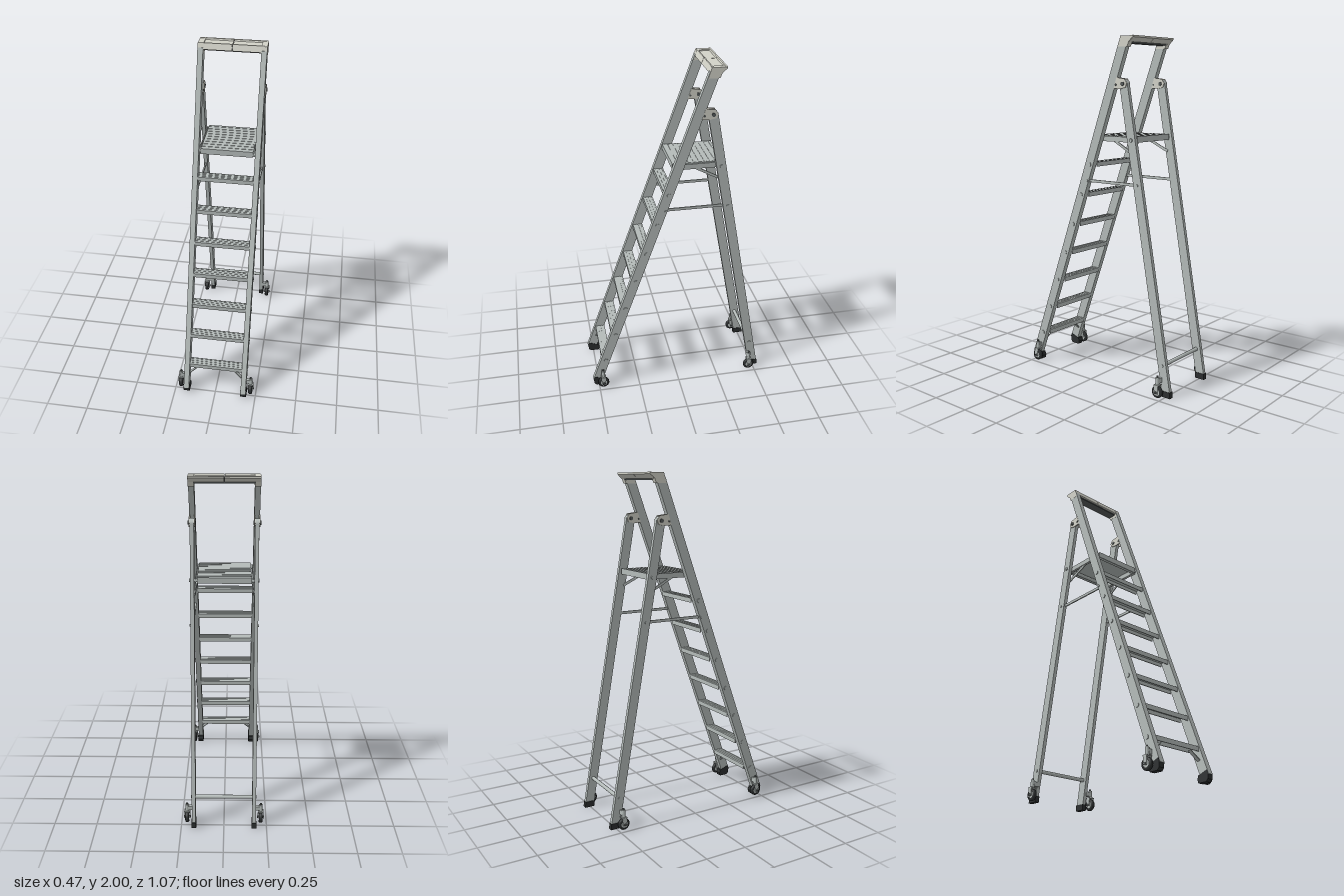
import * as THREE from 'three';

const mat = (color) => new THREE.MeshStandardMaterial({ color });
const metal = mat(0xb4bbb9), pale = mat(0xd2d2c8), rubber = mat(0x2b2e2f), dark = mat(0x555a5a);

// Centre lines of the climbing rails and the support legs in the side plane
const railZ = (y) => 0.52 - 0.364 * y;
const legZ = (y) => -0.506 + 0.179 * y;

export function createModel() {
  const model = new THREE.Group();

  const add = (name, geo, material = metal, parent = model) => {
    const mesh = new THREE.Mesh(geo, material);
    mesh.name = name;
    parent.add(mesh);
  };
  // Side outline (a Shape or [z, y] points), extruded across x between x0 and x1
  const slab = (outline, x0, x1) => {
    const shape = Array.isArray(outline)
      ? new THREE.Shape(outline.map(([z, y]) => new THREE.Vector2(z, y)))
      : outline;
    const geo = new THREE.ExtrudeGeometry(shape, { depth: x1 - x0, bevelEnabled: false, curveSegments: 10 });
    return geo.rotateY(-Math.PI / 2).translate(x1, 0, 0);
  };
  const rodX = (r, x0, x1, y, z, n = 14) =>
    new THREE.CylinderGeometry(r, r, x1 - x0, n).rotateZ(Math.PI / 2).translate((x0 + x1) / 2, y, z);
  // Flat bar between two points
  const bar = (a, b, w, t) => {
    const A = new THREE.Vector3(...a), B = new THREE.Vector3(...b), d = B.clone().sub(A);
    const geo = new THREE.BoxGeometry(t, d.length(), w);
    geo.applyQuaternion(new THREE.Quaternion().setFromUnitVectors(new THREE.Vector3(0, 1, 0), d.normalize()));
    return geo.translate((A.x + B.x) / 2, (A.y + B.y) / 2, (A.z + B.z) / 2);
  };
  // Ribbed channel profile, open underneath
  const channel = (z0, z1, top, height, ribs) => {
    const t = 0.005, w = (z1 - z0) / (ribs * 2 + 1);
    const p = [[z0, top - height], [z0, top]];
    for (let i = 0; i < ribs; i++) {
      const z = z0 + w * (2 * i + 1);
      p.push([z, top], [z, top - 0.002], [z + w, top - 0.002], [z + w, top]);
    }
    p.push([z1, top], [z1, top - height], [z1 - t, top - height], [z1 - t, top - t], [z0 + t, top - t], [z0 + t, top - height]);
    return p;
  };

  // Seven treads
  const stepYs = Array.from({ length: 7 }, (_, i) => 0.18 + i * 0.1833);
  for (const y of stepYs) {
    const z = railZ(y);
    add('step', slab(channel(z - 0.036, z + 0.022, y + 0.013, 0.026, 3), -0.161, 0.161));
  }

  // Standing platform with skirt and hinge rods
  add('platform', slab(channel(-0.268, 0.024, 1.452, 0.034, 9), -0.147, 0.147));
  for (const x of [-0.15, 0.144]) {
    add('platformSkirt', slab([[-0.268, 1.418], [0.024, 1.418], [0.024, 1.45], [-0.268, 1.45]], x, x + 0.006));
  }
  add('platformFrontHinge', rodX(0.013, -0.165, 0.165, 1.432, 0.005));
  add('platformRearHinge', rodX(0.011, -0.17, 0.17, 1.432, -0.25));

  // Tool tray: two halves with a raised rim and a sloping rear lip
  const tray = [[-0.18, 2], [-0.187, 2], [-0.19, 1.992], [-0.25, 1.992], [-0.254, 2], [-0.264, 2], [-0.264, 1.99],
    [-0.238, 1.966], [-0.168, 1.966]];
  add('trayLeftHalf', slab(tray, 0.0015, 0.19), pale);
  add('trayRightHalf', slab(tray, -0.19, -0.0015), pale);
  add('trayUnderside', slab([[-0.235, 1.958], [-0.18, 1.958], [-0.18, 1.985], [-0.235, 1.985]], -0.165, 0.165), dark);

  // Tie bar between the support legs
  add('rearTieBar', rodX(0.011, -0.17, 0.17, 0.18, legZ(0.18)));

  for (const s of [-1, 1]) {
    const side = new THREE.Group();
    side.name = s > 0 ? 'leftSide' : 'rightSide';
    model.add(side);
    const put = (name, geo, m) => add(name, geo, m, side);
    const across = (pts, a, b) => slab(pts, Math.min(s * a, s * b), Math.max(s * a, s * b));
    const pin = (r, a, b, y, z) => rodX(r, Math.min(s * a, s * b), Math.max(s * a, s * b), y, z);

    // Climbing rail and its rubber foot
    put('climbingRail', across([[railZ(0.04) - 0.03, 0.04], [railZ(0.04) + 0.03, 0.04],
      [railZ(1.975) + 0.03, 1.975], [railZ(1.975) - 0.03, 1.975]], 0.161, 0.192));
    put('railFoot', across([[0.465, 0], [0.518, 0], [0.53, 0.014], [0.533, 0.045], [0.526, 0.062], [0.466, 0.04],
      [0.459, 0.02]], 0.159, 0.194), rubber);
    put('trayEnd', across([[-0.16, 1.94], [-0.178, 1.998], [-0.26, 1.998], [-0.262, 1.99], [-0.235, 1.965],
      [-0.225, 1.94]], 0.16, 0.193), pale);

    // Support leg with rounded head and foot
    const h = 0.028, top = 1.735;
    const leg = new THREE.Shape();
    leg.moveTo(legZ(0.02) - h, 0.02);
    leg.lineTo(legZ(0.02) + h, 0.02);
    leg.lineTo(legZ(top) + h, top);
    leg.absarc(legZ(top), top, h, 0, Math.PI, false);
    leg.closePath();
    put('supportLeg', across(leg, 0.165, 0.187));
    put('legFoot', across([[-0.533, 0], [-0.472, 0], [-0.47, 0.035], [-0.53, 0.035]], 0.162, 0.19), rubber);

    // Pivot bracket joining leg and rail
    const plate = [[-0.13, 1.715], [-0.15, 1.775], [-0.205, 1.768], [-0.222, 1.745], [-0.212, 1.72], [-0.175, 1.712]];
    put('pivotBracketOuter', across(plate, 0.187, 0.193), pale);
    put('pivotBracketInner', across(plate, 0.16, 0.165), pale);
    put('pivotBolt', pin(0.011, 0.156, 0.199, 1.74, legZ(1.74)), dark);
    put('bracketBolt', pin(0.006, 0.158, 0.197, 1.735, -0.145), dark);

    // Rivet ends of the treads and the hinges
    for (const y of stepYs) put('stepRivet', pin(0.012, 0.188, 0.196, y, railZ(y) - 0.004));
    put('platformRivet', pin(0.01, 0.187, 0.193, 1.432, -0.25));
    put('tieBarRivet', pin(0.01, 0.185, 0.191, 0.18, legZ(0.18)));

    // Spreader bar, platform brace and first tread brace
    put('spreaderBar', bar([s * 0.175, 1.183, railZ(1.183)], [s * 0.175, 1.183, legZ(1.183) - 0.01], 0.016, 0.008));
    put('spreaderBoltFront', pin(0.007, 0.165, 0.197, 1.183, railZ(1.183) - 0.02));
    put('spreaderBoltRear', pin(0.007, 0.165, 0.192, 1.183, legZ(1.183)));
    put('platformSideBar', bar([s * 0.158, 1.432, 0.015], [s * 0.158, 1.432, -0.26], 0.03, 0.005));
    put('platformBrace', bar([s * 0.151, 1.425, -0.1], [s * 0.163, 1.35, -0.25], 0.015, 0.006));
    put('stepBrace', bar([s * 0.165, 0.115, railZ(0.13)], [s * 0.108, 0.168, railZ(0.17)], 0.02, 0.005));

    // Sprung casters beside each foot
    for (const [name, z] of [['frontCaster', 0.474], ['rearCaster', -0.466]]) {
      const caster = new THREE.Group();
      caster.name = name;
      side.add(caster);
      const x = s * 0.217;
      const tyre = [[0.02, -0.011], [0.03, -0.011], [0.034, -0.006], [0.034, 0.006], [0.03, 0.011], [0.02, 0.011]]
        .map(([r, v]) => new THREE.Vector2(r, v));
      add('tyre', new THREE.LatheGeometry(tyre, 24).rotateZ(Math.PI / 2).translate(x, 0.035, z), rubber, caster);
      add('hub', rodX(0.0205, x - 0.008, x + 0.008, 0.035, z, 20), metal, caster);
      add('axle', rodX(0.007, x - 0.02, x + 0.02, 0.035, z), dark, caster);
      for (const f of [-1, 1]) {
        add('forkPlate', slab([[z - 0.01, 0.028], [z + 0.01, 0.028], [z + 0.014, 0.076], [z - 0.014, 0.076]],
          x + f * 0.015 - 0.002, x + f * 0.015 + 0.002), metal, caster);
      }
      add('forkCrown', new THREE.BoxGeometry(0.034, 0.006, 0.03).translate(x, 0.076, z), metal, caster);
      add('springHousing', new THREE.CylinderGeometry(0.011, 0.011, 0.042, 16).translate(x, 0.099, z), metal, caster);
      add('stemNut', new THREE.CylinderGeometry(0.006, 0.006, 0.012, 6).translate(x, 0.123, z), dark, caster);
      add('mount', new THREE.BoxGeometry(0.032, 0.026, 0.02).translate(s * 0.196, 0.098, z), metal, caster);
    }
  }
  return model;
}
